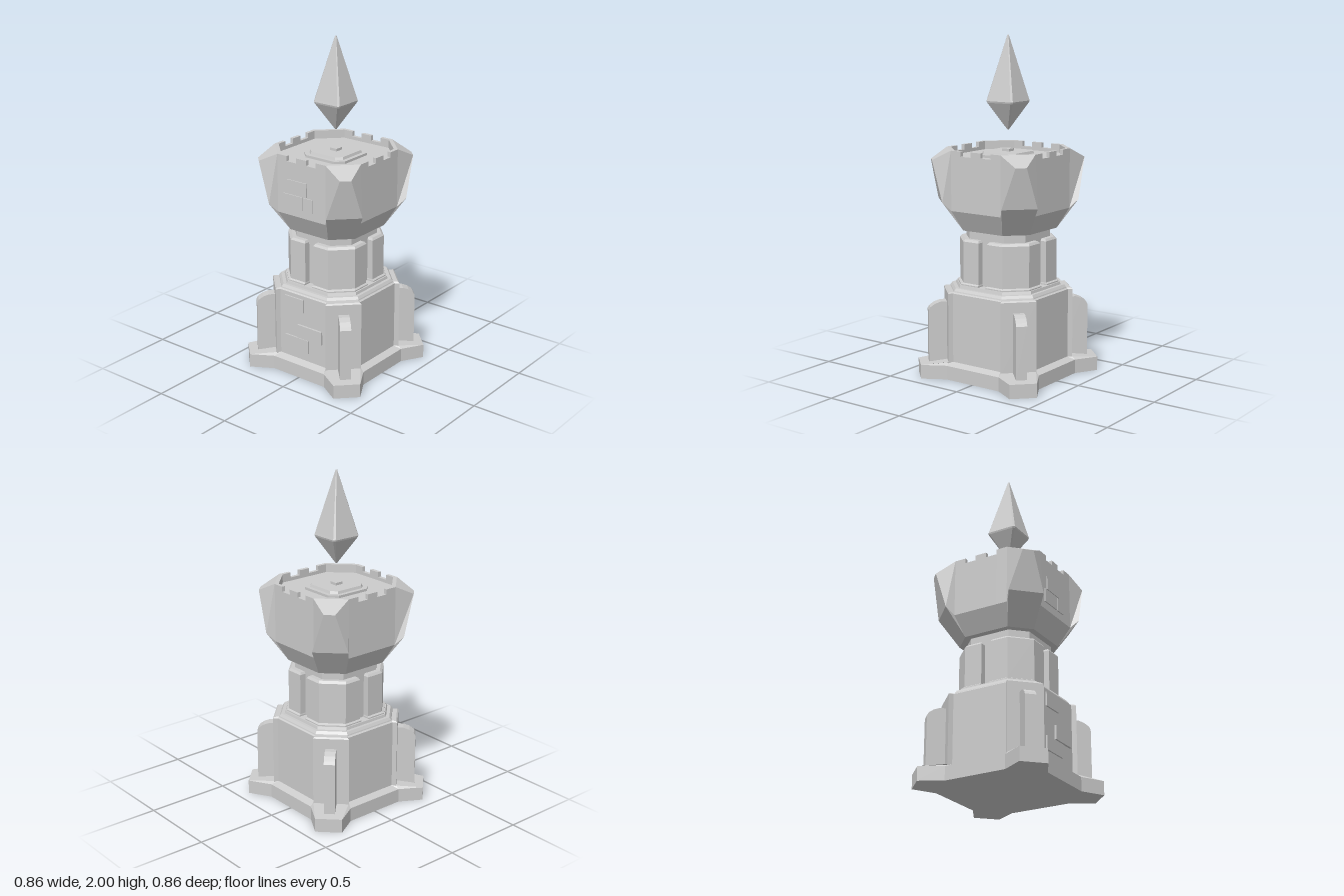
import * as THREE from 'three';

const mat = new THREE.MeshStandardMaterial({ color: 0xcccccc, flatShading: true });

// Repeats one side's points [x, y, z] around the four sides
function four(side) {
  const ring = [];
  for (let k = 0; k < 4; k++) {
    for (const [x, y, z] of side) {
      let p = [x, z];
      for (let j = 0; j < k; j++) p = [p[1], -p[0]];
      ring.push([p[0], y, p[1]]);
    }
  }
  return ring;
}

// Octagon with half width h and half flat f
const oct = (h, f, y) => four([[-f, y, h], [f, y, h]]);

// Joins rings of equal point count from bottom to top and closes both ends
function loft(rings) {
  const pos = [];
  const tri = (a, b, c) => pos.push(...a, ...b, ...c);
  const n = rings[0].length;
  const mid = (r) => [0, 1, 2].map((k) => r.reduce((s, p) => s + p[k], 0) / n);
  const first = rings[0], last = rings[rings.length - 1];
  const c0 = mid(first), c1 = mid(last);
  for (let i = 0; i < n; i++) {
    const j = (i + 1) % n;
    for (let r = 0; r + 1 < rings.length; r++) {
      const a = rings[r], b = rings[r + 1];
      tri(a[i], a[j], b[j]);
      tri(a[i], b[j], b[i]);
    }
    tri(first[j], first[i], c0);
    tri(last[i], last[j], c1);
  }
  const g = new THREE.BufferGeometry();
  g.setAttribute('position', new THREE.Float32BufferAttribute(pos, 3));
  g.computeVertexNormals();
  return g;
}

// One ring of the crown: wall ends w, corner horn ends h, notch floor height
function crownRing(w, h, notchY = w[1]) {
  const half = [[0.035, w[1]], [0.035, notchY], [0.105, notchY], [0.105, w[1]]]
    .map(([x, y]) => [x, y, w[2]]);
  const right = [...half, w, h];
  const left = right.map(([x, y, z]) => [-x, y, z]).reverse();
  return four([...left, ...right]);
}

export function createModel() {
  const model = new THREE.Group();
  const add = (name, geometry, parent = model) => {
    const m = new THREE.Mesh(geometry, mat);
    m.name = name;
    parent.add(m);
    return m;
  };

  // Star-cornered foot slab with a slightly sloped top
  const slab = (y) => four([[-0.32, y, 0.43], [-0.19, y, 0.355], [0.19, y, 0.355], [0.32, y, 0.43]]);
  const slabTop = four([[-0.19, 0.1, 0.335], [-0.17, 0.1, 0.312], [0.17, 0.1, 0.312], [0.19, 0.1, 0.335]]);
  add('footSlab', loft([slab(0), slab(0.083), slabTop]));

  // Lower body: recessed walls between thicker corners
  const body = (y, d) => four([
    [-0.188, y, 0.335 - d], [-0.172, y, 0.312 - d], [0.172, y, 0.312 - d], [0.188, y, 0.335 - d]]);
  add('lowerBody', loft([body(0.09, 0), body(0.512, 0), body(0.52, 0.012)]));

  // Stepped shoulder
  add('shoulder', loft([
    oct(0.305, 0.172, 0.51), oct(0.3, 0.17, 0.525), oct(0.29, 0.165, 0.54),
    oct(0.272, 0.155, 0.54), oct(0.268, 0.15, 0.556)]));

  // Corner buttresses
  const profile = new THREE.Shape([[0.3, 0.08], [0.477, 0.08], [0.477, 0.4], [0.467, 0.418],
    [0.44, 0.437], [0.405, 0.45], [0.3, 0.45]].map(([x, y]) => new THREE.Vector2(x, y)));
  const buttress = new THREE.ExtrudeGeometry(profile, { depth: 0.064, bevelEnabled: false });
  buttress.translate(0, 0, -0.032);
  for (let k = 0; k < 4; k++) {
    add('buttress', buttress).rotation.y = Math.PI / 4 + k * Math.PI / 2;
  }

  // Neck core with four bevelled corner blocks
  add('neckCore', loft([oct(0.212, 0.125, 0.54), oct(0.212, 0.125, 0.89)]));
  const corner = (y, h, g) => {
    const f = h - 0.11;
    return [[g, y, h], [f, y, h], [h, y, f], [h, y, g], [0.15, y, g], [g, y, 0.15]];
  };
  const block = loft([corner(0.55, 0.26, 0.028), corner(0.563, 0.26, 0.028), corner(0.57, 0.25, 0.03),
    corner(0.815, 0.25, 0.03), corner(0.828, 0.24, 0.038)]);
  for (let k = 0; k < 4; k++) add('neckBlock', block).rotation.y = k * Math.PI / 2;

  // Crown: flared head, corner horns, notched rim and sunken floor
  add('crown', loft([
    crownRing([0.14, 0.88, 0.25], [0.14, 0.88, 0.25]),
    crownRing([0.175, 1.0, 0.315], [0.21, 1.05, 0.355]),
    crownRing([0.175, 1.35, 0.315], [0.295, 1.29, 0.34], 1.32),
    crownRing([0.175, 1.35, 0.315], [0.175, 1.35, 0.315], 1.32),
    crownRing([0.165, 1.35, 0.293], [0.165, 1.35, 0.293], 1.32),
    crownRing([0.165, 1.3, 0.293], [0.165, 1.3, 0.293])]));

  // Stepped pedestal in the crown floor
  add('pedestal', loft([
    oct(0.148, 0.105, 1.295), oct(0.148, 0.105, 1.315), oct(0.123, 0.09, 1.315), oct(0.118, 0.086, 1.33)]));
  add('pedestalKnob', new THREE.BoxGeometry(0.05, 0.02, 0.05)).position.y = 1.335;

  // Floating crystal with softened edges
  add('crystal', loft([
    oct(0.004, 0.002, 1.455), oct(0.091, 0.081, 1.612), oct(0.094, 0.084, 1.622),
    oct(0.091, 0.081, 1.634), oct(0.004, 0.002, 2.0)]));

  // Raised bricks on the front: x from, x to, y from, y to, wall z, thickness
  const bricks = [
    [-0.105, 0.04, 1.132, 1.215, 0.315, 0.006],
    [-0.13, 0.008, 1.045, 1.127, 0.315, 0.006],
    [0.015, 0.085, 1.045, 1.127, 0.315, 0.006],
    [-0.13, 0.008, 0.408, 0.49, 0.312, 0.009],
    [-0.033, 0.145, 0.242, 0.325, 0.312, 0.013],
    [-0.13, 0.045, 0.155, 0.237, 0.312, 0.009],
  ];
  for (const [x0, x1, y0, y1, z, t] of bricks) {
    const b = add('brick', new THREE.BoxGeometry(x1 - x0, y1 - y0, t + 0.02));
    b.position.set((x0 + x1) / 2, (y0 + y1) / 2, z + t / 2 - 0.01);
  }

  return model;
}
